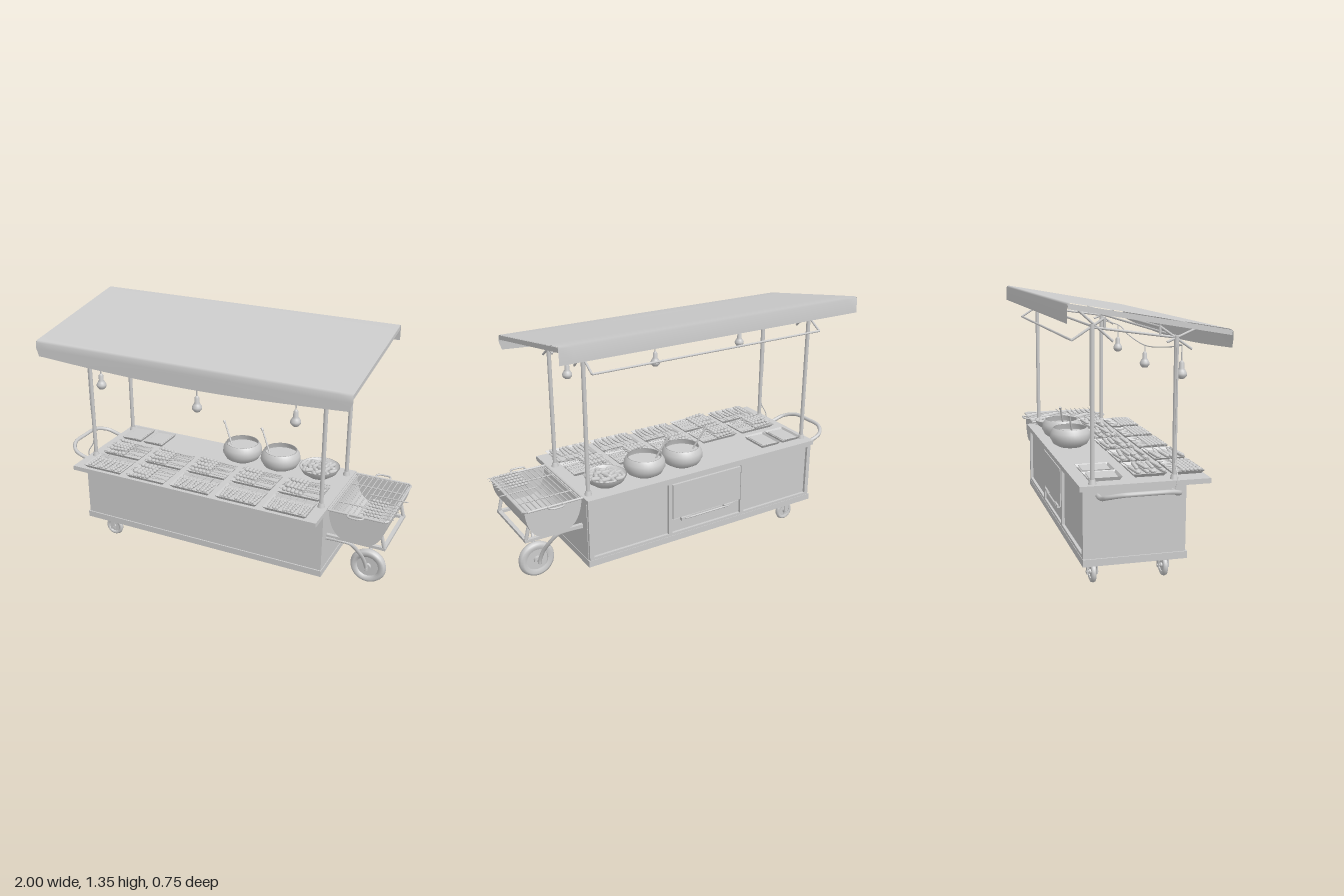
import * as THREE from 'three';
import { mergeGeometries } from 'three/addons/utils/BufferGeometryUtils.js';
import { RoundedBoxGeometry } from 'three/addons/geometries/RoundedBoxGeometry.js';

const mat = new THREE.MeshStandardMaterial({ color: 0xcccccc, side: THREE.DoubleSide });
const V = (x, y, z) => new THREE.Vector3(x, y, z);

export function createModel() {
  const root = new THREE.Group();
  const add = (name, geo, x = 0, y = 0, z = 0, parent = root) => {
    const m = new THREE.Mesh(geo, mat);
    m.name = name;
    m.position.set(x, y, z);
    parent.add(m);
    return m;
  };
  // box given by its limits
  const box = (name, x0, x1, y0, y1, z0, z1) =>
    add(name, new THREE.BoxGeometry(x1 - x0, y1 - y0, z1 - z0), (x0 + x1) / 2, (y0 + y1) / 2, (z0 + z1) / 2);
  // straight rod between two points
  const rodGeo = (a, b, r, seg = 8) => {
    const d = b.clone().sub(a);
    const g = new THREE.CylinderGeometry(r, r, d.length(), seg);
    g.applyQuaternion(new THREE.Quaternion().setFromUnitVectors(V(0, 1, 0), d.normalize()));
    return g.translate((a.x + b.x) / 2, (a.y + b.y) / 2, (a.z + b.z) / 2);
  };
  const rod = (name, a, b, r, seg) => add(name, rodGeo(a, b, r, seg));
  const tube = (name, pts, r, n = 32) =>
    add(name, new THREE.TubeGeometry(new THREE.CatmullRomCurve3(pts, false, 'centripetal'), n, r, 8));
  const lathe = (pts, seg = 28) => new THREE.LatheGeometry(pts.map(p => new THREE.Vector2(...p)), seg);

  // cabinet
  box('cabinet', -0.81, 0.636, 0.165, 0.49, -0.255, 0.23);
  box('plinth', -0.817, 0.64, 0.13, 0.165, -0.272, 0.237);
  box('counter', -0.812, 0.64, 0.49, 0.515, -0.285, 0.353);
  for (let i = 0; i < 4; i++) {
    const x = -0.795 + i * 0.472;
    box('backStile', x - 0.012, x + 0.012, 0.165, 0.49, -0.27, -0.255);
  }
  for (const y of [0.172, 0.482]) box('backRail', -0.8, 0.63, y - 0.008, y + 0.008, -0.27, -0.255);
  box('drawerFront', -0.305, 0.135, 0.265, 0.468, -0.273, -0.255);
  box('lowerDoor', -0.305, 0.135, 0.185, 0.255, -0.262, -0.255);
  for (const x of [-0.225, 0.055]) box('drawerLatch', x - 0.03, x + 0.03, 0.245, 0.262, -0.28, -0.262);
  rod('drawerHandle', V(-0.23, 0.252, -0.277), V(0.06, 0.252, -0.277), 0.005);

  // push handle
  tube('pushHandle', [V(-0.8, 0.468, 0.16), V(-0.87, 0.472, 0.16), V(-0.94, 0.495, 0.15), V(-0.985, 0.515, 0.09),
    V(-0.992, 0.518, -0.02), V(-0.985, 0.515, -0.13), V(-0.94, 0.495, -0.19), V(-0.87, 0.472, -0.2), V(-0.8, 0.468, -0.2)], 0.011, 60);

  // wheels: tyre, disc and hub, axle along z
  const wheel = (name, x, y, z, R, w) => {
    const g = new THREE.Group();
    g.name = name;
    g.position.set(x, y, z);
    const h = w / 2, tyre = lathe([[R * 0.6, -h * 0.7], [R * 0.8, -h], [R * 0.93, -h * 0.75], [R, 0],
      [R * 0.93, h * 0.75], [R * 0.8, h], [R * 0.6, h * 0.7], [R * 0.6, -h * 0.7]], 32);
    add('tyre', tyre.rotateX(Math.PI / 2), 0, 0, 0, g);
    add('wheelDisc', new THREE.CylinderGeometry(R * 0.62, R * 0.62, w * 0.4, 28).rotateX(Math.PI / 2), 0, 0, 0, g);
    add('hub', new THREE.CylinderGeometry(R * 0.2, R * 0.2, w * 1.15, 14).rotateX(Math.PI / 2), 0, 0, 0, g);
    root.add(g);
  };
  wheel('frontWheel', 0.822, 0.11, -0.012, 0.1, 0.048);
  for (const z of [0.16, -0.198]) {
    wheel('caster', -0.69, 0.057, z, 0.054, 0.026);
    for (const s of [-1, 1]) box('casterFork', -0.703, -0.677, 0.045, 0.13, z + s * 0.024 - 0.003, z + s * 0.024 + 0.003);
    box('casterPlate', -0.72, -0.66, 0.118, 0.13, z - 0.03, z + 0.03);
    rod('casterAxle', V(-0.69, 0.057, z - 0.03), V(-0.69, 0.057, z + 0.03), 0.006);
  }
  for (const s of [-1, 1]) {
    const z = k => -0.015 + s * k;
    tube('wheelFork', [V(0.63, 0.33, z(0.18)), V(0.7, 0.33, z(0.175)), V(0.755, 0.31, z(0.15)), V(0.79, 0.25, z(0.11)),
      V(0.81, 0.18, z(0.065)), V(0.82, 0.125, z(0.043)), V(0.822, 0.1, z(0.04))], 0.01);
  }
  rod('frontAxle', V(0.822, 0.11, -0.06), V(0.822, 0.11, 0.036), 0.008);

  // grill trough: half drum with end walls, open on top
  const arc = new THREE.Shape();
  arc.moveTo(-0.152, 0.155);
  arc.bezierCurveTo(-0.145, 0.05, -0.1, 0, -0.045, 0);
  arc.lineTo(0.045, 0);
  arc.bezierCurveTo(0.1, 0, 0.145, 0.05, 0.152, 0.155);
  const edge = arc.getPoints(10);
  const shell = new THREE.Shape([...edge, ...edge.map(p => new THREE.Vector2(p.x * 0.95, 0.155 + (p.y - 0.155) * 0.95)).reverse()]);
  add('grillTrough', new THREE.ExtrudeGeometry(shell, { depth: 0.44, bevelEnabled: false }), 0.805, 0.363, -0.24);
  for (const z of [-0.24, 0.196]) add('grillEnd', new THREE.ExtrudeGeometry(arc, { depth: 0.005, bevelEnabled: false }), 0.805, 0.363, z);
  // grate with rim and bars
  const rimPts = [[0.65, -0.245], [0.945, -0.245], [0.962, -0.228], [0.962, 0.188], [0.945, 0.205], [0.65, 0.205]];
  rimPts.forEach(([x, z], i) => {
    const [x2, z2] = rimPts[(i + 1) % rimPts.length];
    rod('grateRim', V(x, 0.522, z), V(x2, 0.522, z2), 0.006);
  });
  for (let i = 0; i < 11; i++) rod('grateBar', V(0.67 + i * 0.027, 0.52, -0.24), V(0.67 + i * 0.027, 0.52, 0.2), 0.003, 6);
  for (const z of [-0.13, 0.09]) rod('grateCrossBar', V(0.65, 0.516, z), V(0.96, 0.516, z), 0.004, 6);
  for (const s of [-1, 1]) {
    const z = k => -0.02 + s * k;
    tube('grateHandle', [V(0.76, 0.522, z(0.22)), V(0.765, 0.525, z(0.255)), V(0.8, 0.525, z(0.262)), V(0.835, 0.525, z(0.255)), V(0.84, 0.522, z(0.22))], 0.005);
    box('grillBracket', 0.63, 0.95, 0.337, 0.352, z(0.179) - 0.01, z(0.179) + 0.01);
    rod('grillStay', V(0.944, 0.345, z(0.179)), V(0.925, 0.42, z(0.179)), 0.01);
  }
  box('grillCrossBar', 0.932, 0.952, 0.337, 0.352, -0.21, 0.17);

  // skewers: stick and pieces, merged into one mesh per serving
  const skewer = (list, x, y, z, len, alongX, r, turn) => {
    const g = [rodGeo(V(-len / 2, 0, 0), V(len / 2, 0, 0), 0.0022, 5)];
    for (let k = 0; k < 5; k++) {
      g.push(new THREE.SphereGeometry(r, 7, 5).scale(1.1, 0.85, 1).translate(-len * 0.38 + k * r * 2, 0, 0));
    }
    g.forEach(p => list.push(p.rotateY((alongX ? 0 : Math.PI / 2) + turn).translate(x, y, z)));
  };
  const grillFood = [];
  for (let i = 0; i < 6; i++) skewer(grillFood, 0.9, 0.533, 0.03 + i * 0.031, 0.17, true, 0.009, 0.03 * Math.sin(i * 5));
  grillFood.push(rodGeo(V(0.8, 0.53, -0.03), V(1, 0.53, -0.03), 0.003, 6));
  add('grillSkewers', mergeGeometries(grillFood));

  // two rows of serving trays
  const tray = (x, z, w, d) => {
    const g = new THREE.Group();
    g.name = 'tray';
    g.position.set(x, 0.515, z);
    root.add(g);
    add('trayBase', new RoundedBoxGeometry(w * 0.86, 0.008, d * 0.86, 2, 0.004), 0, 0.006, 0, g);
    const rim = new THREE.CylinderGeometry(Math.SQRT1_2, Math.SQRT1_2 * 0.86, 0.018, 4, 1, true).rotateY(Math.PI / 4).scale(w, 1, d).toNonIndexed();
    rim.computeVertexNormals();
    add('trayWall', rim, 0, 0.012, 0, g);
  };
  for (let i = 0; i < 5; i++) {
    const x = -0.62 + i * 0.272;
    for (const back of [0, 1]) {
      const z = back ? 0.075 : 0.265, alongX = back === 1 || i === 1, food = [];
      tray(x, z, 0.24, 0.165);
      const n = alongX ? 6 : 8;
      for (let k = 0; k < n; k++) {
        const t = k / (n - 1) - 0.5, turn = 0.12 * Math.sin(i * 7 + k * 4 + back);
        if (alongX) skewer(food, x, 0.54, z + t * 0.13, 0.24, true, 0.012, turn);
        else skewer(food, x + t * 0.19, 0.537, z, 0.165, false, 0.01, turn);
        if (back && k < n - 1) skewer(food, x + 0.01, 0.557, z + (t + 0.1) * 0.12, 0.23, true, 0.011, -turn);
      }
      add('skewers', mergeGeometries(food));
    }
  }
  for (const x of [-0.69, -0.545]) {
    tray(x, -0.15, 0.13, 0.17);
    add('trayLid', new RoundedBoxGeometry(0.105, 0.006, 0.14, 2, 0.003), x, 0.53, -0.15).rotation.z = 0.06;
  }

  // cooking pots with ladles
  for (const x of [0.003, 0.238]) {
    add('pot', lathe([[0, 0], [0.065, 0], [0.095, 0.018], [0.112, 0.05], [0.108, 0.08], [0.093, 0.104],
      [0.088, 0.104], [0.102, 0.078], [0.105, 0.05], [0.088, 0.022], [0, 0.01]], 36), x, 0.515, -0.15);
    add('stew', new THREE.CylinderGeometry(0.1, 0.1, 0.006, 30), x, 0.585, -0.15);
    rod('ladle', V(x - 0.065, 0.58, -0.15), V(x - 0.125, 0.7, -0.18), 0.005);
    rod('ladleTip', V(x - 0.125, 0.7, -0.18), V(x - 0.135, 0.713, -0.185), 0.007);
  }
  // shallow bowl of food
  add('bowl', lathe([[0, 0], [0.06, 0], [0.095, 0.025], [0.112, 0.055], [0.107, 0.055], [0.09, 0.028], [0, 0.01]], 32), 0.47, 0.515, -0.15);
  const food = [];
  for (let i = 0; i < 26; i++) {
    const a = i * 2.4, r = 0.018 * Math.sqrt(i);
    food.push(new THREE.CapsuleGeometry(0.012, 0.03, 3, 7).rotateZ(Math.PI / 2).rotateY(a * 1.7)
      .translate(0.47 + r * Math.cos(a), 0.578 - r * 0.25, -0.15 + r * Math.sin(a)));
  }
  add('bowlFood', mergeGeometries(food));

  // posts and roof frame
  const X0 = -0.775, X1 = 0.604, ZF = 0.18, ZB = -0.217;
  for (const x of [X0, X1]) {
    for (const [z, top] of [[ZF, 1.19], [ZB, 1.25]]) {
      rod('post', V(x, 0.515, z), V(x, top, z), 0.011, 14);
      add('postFoot', new THREE.CylinderGeometry(0.014, 0.02, 0.022, 14), x, 0.526, z);
    }
    const brace = (z0, y0, z1, y1) => rod('roofBrace', V(x, y0, z0), V(x, y1, z1), 0.006);
    brace(ZF, 1.18, ZB, 1.235);
    brace(0.3, 1.23, 0.135, 1.16);
    brace(0.255, 1.125, 0.095, 1.235);
    brace(0.1, 1.24, 0.1, 1.19);
    brace(-0.16, 1.275, -0.31, 1.18);
    brace(-0.12, 1.17, -0.295, 1.325);
    brace(-0.16, 1.28, -0.16, 1.225);
  }
  for (const [y, z] of [[1.185, ZF], [1.24, ZB], [1.23, 0.1], [1.225, 0.3], [1.32, -0.295], [1.18, -0.31]]) {
    rod('roofRail', V(X0, y, z), V(X1, y, z), 0.006);
  }

  // cloth canopy: cross-sections along x, hanging front and back, with a sagging front hem
  const pos = [], idx = [], NX = 24, NP = 12;
  for (let i = 0; i <= NX; i++) {
    const u = i / NX, x = -0.975 + u * 1.77, sag = Math.sin(Math.PI * u);
    const prof = [[0.374, 1.148 - 0.033 * sag], [0.372, 1.19], [0.37, 1.222], [0.36, 1.232]];
    for (let k = 1; k <= 5; k++) prof.push([0.36 - k * 0.12, 1.232 + k * 0.0208 - 0.004 * sag * Math.sin(Math.PI * k / 6)]);
    prof.push([-0.36, 1.356], [-0.371, 1.348], [-0.374, 1.27]);
    prof.forEach(([z, y], j) => pos.push(x + (j === 0 ? (0.5 - u) * 0.03 : 0), y, z));
    if (i < NX) for (let j = 0; j < NP - 1; j++) {
      const a = i * NP + j, b = a + NP;
      idx.push(a, b, a + 1, b, b + 1, a + 1);
    }
  }
  const cloth = new THREE.BufferGeometry();
  cloth.setAttribute('position', new THREE.Float32BufferAttribute(pos, 3));
  cloth.setIndex(idx);
  cloth.computeVertexNormals();
  add('canopy', cloth);
  const lip = new THREE.Shape([[0.368, 1.205], [0.368, 1.228], [-0.368, 1.354], [-0.368, 1.33]].map(p => new THREE.Vector2(...p)));
  for (const x of [-0.974, 0.791]) {
    add('canopyEnd', new THREE.ExtrudeGeometry(lip, { depth: 0.003, bevelEnabled: false }).rotateY(-Math.PI / 2).translate(0.003, 0, 0), x);
  }

  // light string
  const zl = 0.25;
  tube('lightCable', [V(X0, 1.15, ZF), V(-0.655, 1.13, zl), V(-0.4, 1.092, zl), V(-0.07, 1.066, zl), V(0.25, 1.092, zl), V(0.475, 1.13, zl), V(X1, 1.15, ZF)], 0.003, 60);
  for (const [x, y] of [[-0.655, 0], [-0.07, -0.025], [0.475, 0]]) {
    rod('bulbCord', V(x, 1.03 + y, zl), V(x, y ? 1.066 : 1.13, zl), 0.003, 6);
    add('bulb', lathe([[0, 0], [0.015, 0.003], [0.026, 0.016], [0.027, 0.028], [0.02, 0.042], [0.013, 0.052],
      [0.013, 0.078], [0.006, 0.088], [0, 0.09]], 20), x, 0.968 + y, zl);
  }
  tube('powerCable', [V(X0 - 0.012, 1.15, ZF), V(X0 - 0.014, 0.85, ZF), V(X0 - 0.012, 0.6, ZF), V(-0.825, 0.53, ZF), V(-0.83, 0.48, 0.17)], 0.003, 40);
  return root;
}
